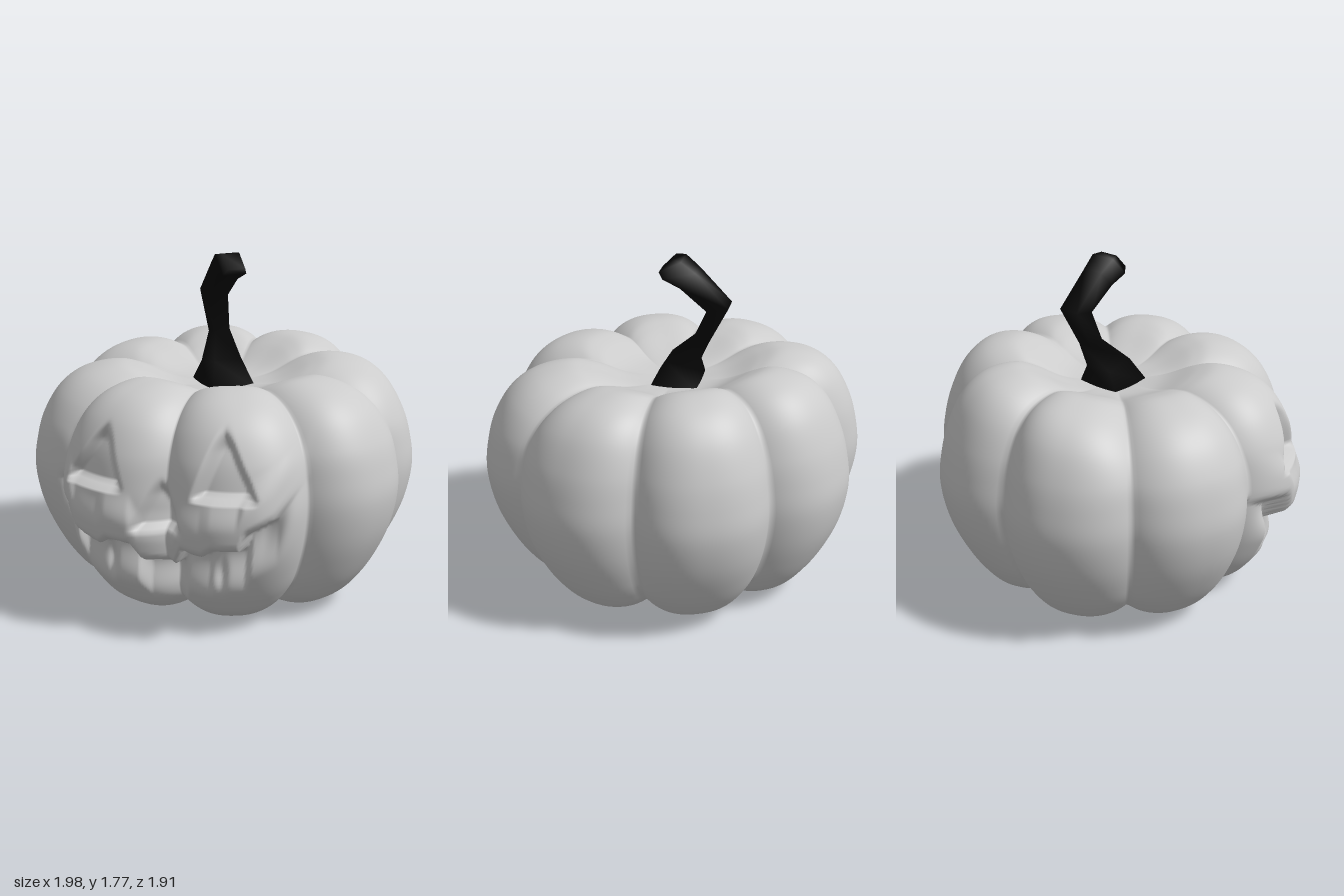
import * as THREE from 'three';

const smooth = (a, b, v) => THREE.MathUtils.smoothstep(v, a, b);

// Meridian of a lobe, from the centre of the base up and over into the top bowl
const meridian = new THREE.SplineCurve([
  [0, 0.13], [0.28, 0.08], [0.55, 0.005], [0.72, 0.07], [0.83, 0.19], [0.92, 0.35], [0.975, 0.5],
  [1, 0.66], [0.985, 0.8], [0.945, 0.94], [0.86, 1.08], [0.74, 1.17], [0.58, 1.21], [0.45, 1.19],
  [0.25, 1.11], [0, 1.07],
].map(p => new THREE.Vector2(...p)));

// Lower edge of the upper lip, as x, y pairs
const lip = [[-0.72, 0.71], [-0.53, 0.62], [-0.48, 0.5], [-0.34, 0.46], [-0.29, 0.5], [-0.17, 0.49],
  [-0.12, 0.4], [0.04, 0.38], [0.09, 0.48], [0.2, 0.47], [0.25, 0.51], [0.38, 0.51], [0.41, 0.6],
  [0.53, 0.67], [0.63, 0.83]];

function lipHeight(x) {
  for (let i = 1; i < lip.length; i++) {
    const [x0, y0] = lip[i - 1], [x1, y1] = lip[i];
    if (x <= x1) return y0 + (y1 - y0) * Math.max(0, (x - x0) / (x1 - x0));
  }
  return lip[lip.length - 1][1];
}

// Triangular hollow: sharp sill at the bottom, softer sloping sides
function triangleHollow(x, y, apexX, apexY, left, right, base) {
  const h = (apexY - y) / (apexY - base);
  if (h <= 0) return 0;
  const xl = apexX + (left - apexX) * h, xr = apexX + (right - apexX) * h;
  return smooth(-0.02, 0.05, Math.min(x - xl, xr - x)) * smooth(-0.012, 0.012, y - base) * smooth(0, 0.4, h);
}

// Depth carved into the front for the eyes, nose and mouth
function faceDepth(x, y) {
  let d = 0.085 * triangleHollow(x, y, -0.32, 1.09, -0.54, -0.21, 0.77);
  d += 0.085 * triangleHollow(x, y, 0.27, 1.12, 0.15, 0.46, 0.77);
  d += 0.06 * triangleHollow(x, y, -0.03, 0.85, -0.16, 0.1, 0.585);
  const below = lipHeight(x) - y;
  const ends = smooth(-0.72, -0.5, x) * (1 - smooth(0.46, 0.64, x));
  d += ends * 0.11 * smooth(-0.012, 0.015, below) * (1 - smooth(0.02, 0.26, below));
  // swollen upper lip and cheeks
  d -= ends * 0.03 * smooth(0, 0.05, -below) * (1 - smooth(0.12, 0.28, -below));
  // grooves beside the lower teeth
  for (const gx of [-0.32, 0.26])
    d += 0.03 * Math.exp(-(((x - gx) / 0.025) ** 2) - ((y - 0.35) / 0.07) ** 2);
  return d;
}

function pumpkinPoint(theta, t) {
  const p = meridian.getPoint(t);
  const a = theta / (Math.PI / 4);
  const w = 2 * (a - Math.floor(a)) - 1;
  const groove = Math.abs(w) ** 2.5;                 // 1 in a valley, 0 on a lobe
  const side = Math.sin(theta) ** 8;                 // shallower valleys at the sides
  const fade = smooth(0.12, 0.6, p.x);
  const r = Math.max(0, p.x) * (1.015 - (0.13 - 0.035 * side) * groove * fade);
  const top = smooth(0.85, 1.2, p.y), bottom = 1 - smooth(0, 0.3, p.y);
  let x = r * Math.sin(theta) * 1.01, z = r * Math.cos(theta) * 0.965;
  let y = p.y + groove * fade * (0.05 * bottom - 0.06 * top);
  y += top * fade * 0.06 * smooth(0, 0.7, -z);       // higher back
  if (z > 0) z -= faceDepth(x, y) * smooth(0.3, 0.6, z) * (1 - smooth(1.1, 1.2, y));
  return [x, y, z];
}

function pumpkinGeometry(cols, rows) {
  const pos = [], index = [];
  for (let j = 0; j <= rows; j++)
    for (let i = 0; i < cols; i++) {
      const phi = (i / cols) * Math.PI * 2;
      pos.push(...pumpkinPoint(phi - 0.5 * Math.sin(phi), j / rows)); // finer columns at the face
    }
  for (let j = 0; j < rows; j++)
    for (let i = 0; i < cols; i++) {
      const a = j * cols + i, b = j * cols + (i + 1) % cols;
      if (j > 0) index.push(a, b, b + cols);
      if (j < rows - 1) index.push(a, b + cols, a + cols);
    }
  const g = new THREE.BufferGeometry();
  g.setAttribute('position', new THREE.Float32BufferAttribute(pos, 3));
  g.setIndex(index);
  g.computeVertexNormals();
  return g;
}

// Four-sided bent stem: centre, half side and tilt of each section
function stemGeometry() {
  const sections = [
    [-0.01, 1.07, -0.01, 0.13, 0], [-0.03, 1.2, -0.04, 0.08, 0.2], [-0.075, 1.34, -0.135, 0.042, 0.25],
    [-0.13, 1.53, -0.21, 0.057, -0.2], [-0.03, 1.67, -0.09, 0.058, -0.8],
    [0.025, 1.72, -0.03, 0.068, -0.8], [0.05, 1.738, -0.005, 0.05, -0.8],
  ];
  const u = new THREE.Vector3(1, 0, -1).normalize();
  const pos = [], index = [];
  for (const [x, y, z, s, tilt] of sections) {
    const v = new THREE.Vector3(Math.SQRT1_2 * Math.cos(tilt), Math.sin(tilt), Math.SQRT1_2 * Math.cos(tilt));
    for (const [a, b] of [[-1, -1], [1, -1], [1, 1], [-1, 1]])
      pos.push(...new THREE.Vector3(x, y, z).addScaledVector(u, a * s).addScaledVector(v, b * s).toArray());
  }
  for (let j = 0; j < sections.length - 1; j++)
    for (let i = 0; i < 4; i++) {
      const a = j * 4 + i, b = j * 4 + (i + 1) % 4;
      index.push(a, b + 4, b, a, a + 4, b + 4);
    }
  const e = (sections.length - 1) * 4;
  index.push(e, e + 2, e + 1, e, e + 3, e + 2);
  const g = new THREE.BufferGeometry();
  g.setAttribute('position', new THREE.Float32BufferAttribute(pos, 3));
  g.setIndex(index);
  g.computeVertexNormals();
  return g;
}

export function createModel() {
  const group = new THREE.Group();
  group.name = 'carvedPumpkin';

  const body = new THREE.Mesh(pumpkinGeometry(360, 150), new THREE.MeshStandardMaterial({ color: 0xcccccc }));
  body.name = 'pumpkinBody';

  const stem = new THREE.Mesh(stemGeometry(),
    new THREE.MeshStandardMaterial({ color: 0x050505, side: THREE.DoubleSide }));
  stem.name = 'stem';

  group.add(body, stem);
  return group;
}
